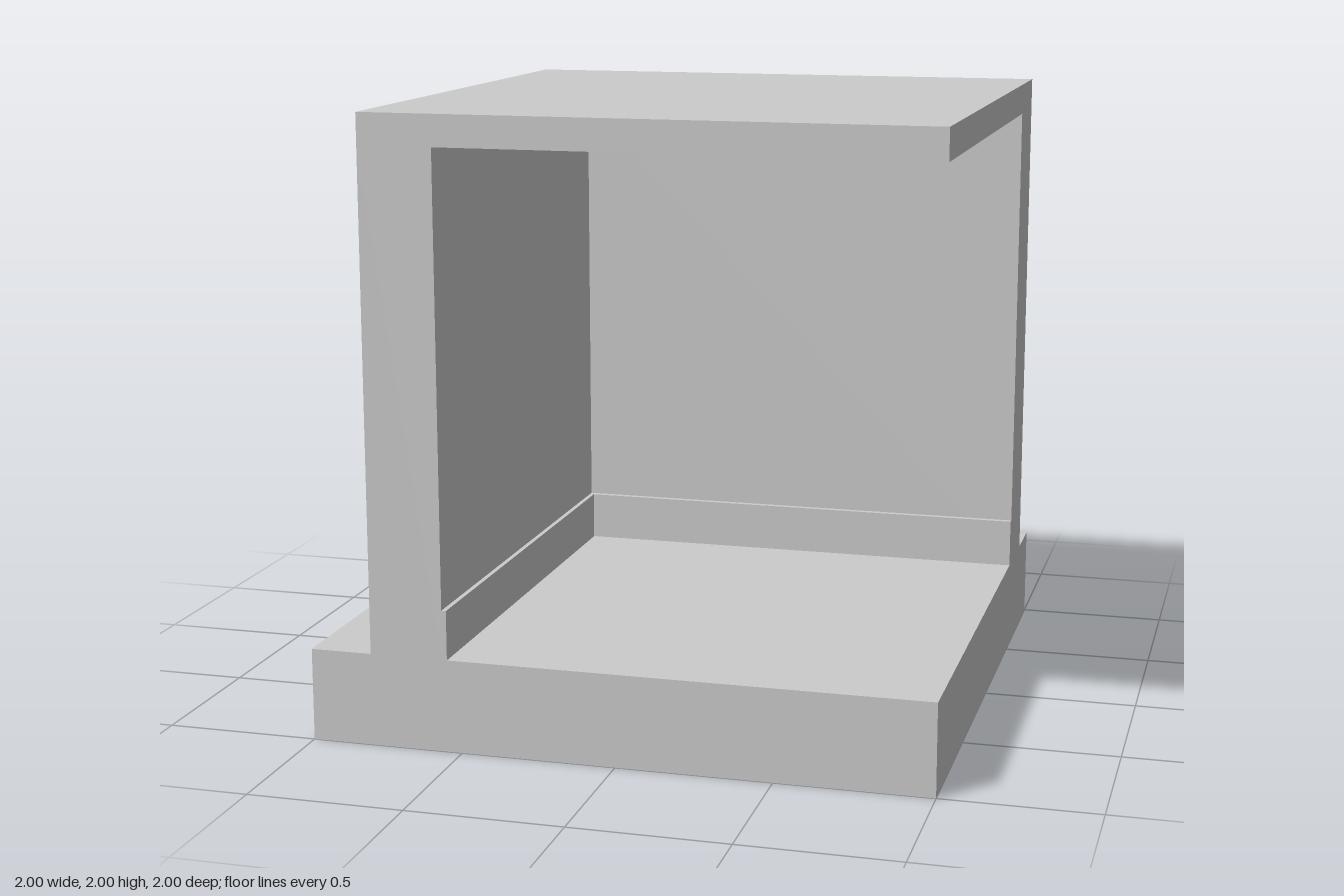
import * as THREE from 'three';

const material = new THREE.MeshStandardMaterial({ color: 0xcccccc, flatShading: true });

// Axis-aligned slab given by its [min, max] extents
function slab(name, [x0, x1], [y0, y1], [z0, z1]) {
  const geometry = new THREE.BoxGeometry(x1 - x0, y1 - y0, z1 - z0);
  geometry.translate((x0 + x1) / 2, (y0 + y1) / 2, (z0 + z1) / 2);
  const mesh = new THREE.Mesh(geometry, material);
  mesh.name = name;
  return mesh;
}

// L-shaped plan (outer corner at back right, open to the front and left) raised from y0 to y1
function cornerRun(name, outer, inner, y0, y1) {
  const plan = [
    [outer.x, outer.z], [1, outer.z], [1, inner.z],
    [inner.x, inner.z], [inner.x, 1], [outer.x, 1],
  ];
  const shape = new THREE.Shape(plan.map(([x, z]) => new THREE.Vector2(x, -z)));
  const geometry = new THREE.ExtrudeGeometry(shape, { depth: y1 - y0, bevelEnabled: false });
  geometry.rotateX(-Math.PI / 2);
  geometry.translate(0, y0, 0);
  const mesh = new THREE.Mesh(geometry, material);
  mesh.name = name;
  return mesh;
}

export function createModel() {
  const group = new THREE.Group();
  group.name = 'cutawayRoom';

  const outside = { x: -0.8, z: -0.8 };
  const wallFace = { x: -0.56, z: -0.555 };
  const skirtingFace = { x: -0.545, z: -0.535 };

  group.add(
    slab('floor', [-1, 1], [0, 0.3], [-1, 1]),
    cornerRun('walls', outside, wallFace, 0.3, 1.9),
    cornerRun('skirting', wallFace, skirtingFace, 0.3, 0.46),
    slab('ceiling', [-0.8, 1], [1.9, 2], [-0.8, 1]),
  );
  return group;
}
